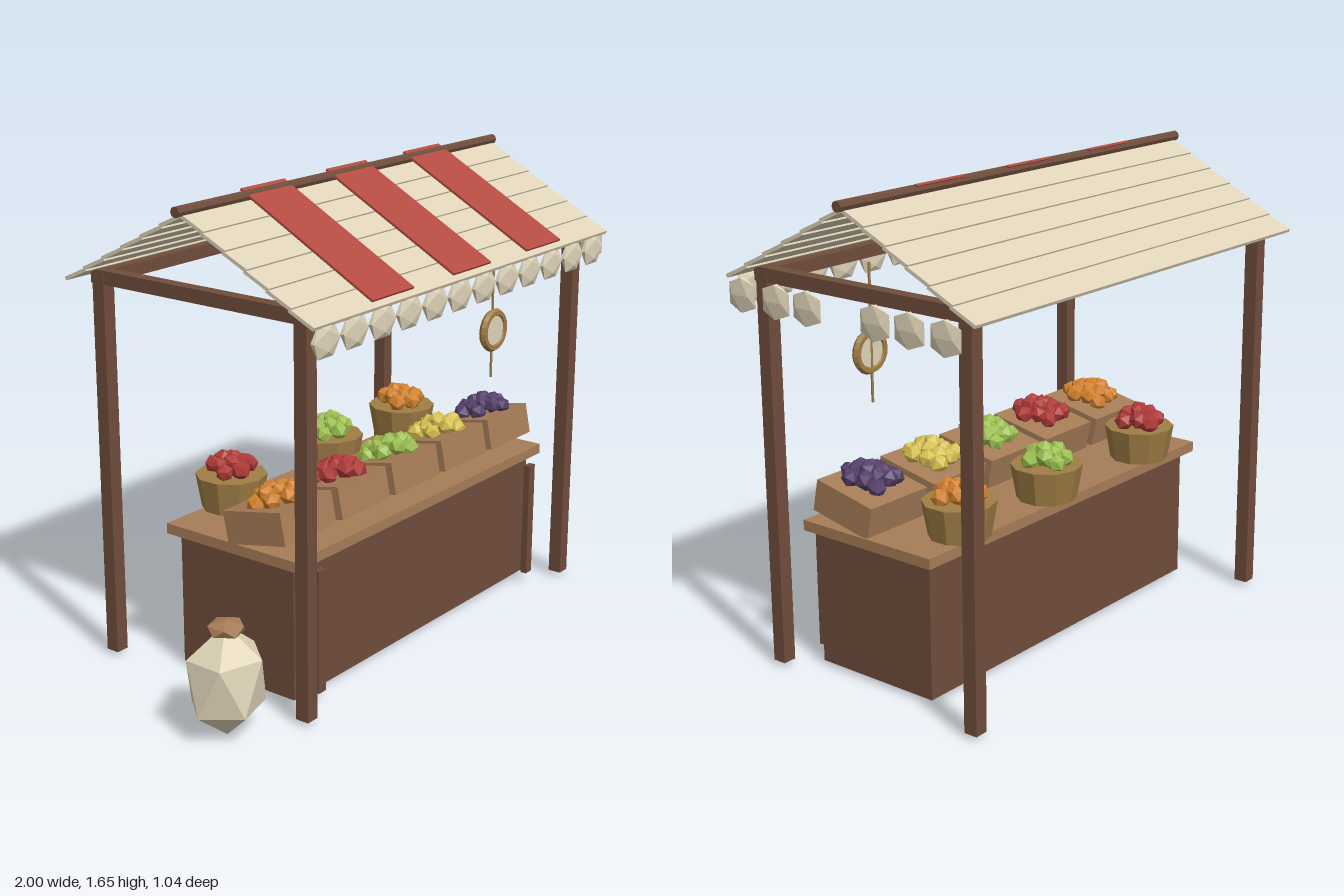
import * as THREE from 'three';

const mat = (name, color) => {
  const m = new THREE.MeshStandardMaterial({ color, flatShading: true });
  m.name = name;
  return m;
};

export function createModel() {
  const model = new THREE.Group();
  model.name = 'marketStall';
  const darkWood = mat('dark wood', 0x6f4d3b);
  const lightWood = mat('light wood', 0xa67c57);
  const wicker = mat('wicker', 0xa07d45);
  const cream = mat('cream cloth', 0xdfd4b9);
  const red = mat('red cloth', 0xb34a40);
  const orange = mat('orange fruit', 0xd4822f);
  const apple = mat('red fruit', 0xae3a38);
  const green = mat('green fruit', 0x9cbf50);
  const yellow = mat('yellow fruit', 0xd6c050);
  const purple = mat('purple fruit', 0x55406a);

  let seed = 7;
  const rand = () => (seed = (seed * 16807) % 2147483647) / 2147483647;

  const add = (name, geo, material, x, y, z, parent = model) => {
    const m = new THREE.Mesh(geo, material);
    m.name = name;
    m.position.set(x, y, z);
    parent.add(m);
    return m;
  };
  const box = (name, material, w, h, d, x, y, z, parent) =>
    add(name, new THREE.BoxGeometry(w, h, d), material, x, y, z, parent);

  // Frame: four posts joined by beams
  const postX = [-0.652, 0.893], postZ = [0.417, -0.426];
  for (const x of postX) {
    for (const z of postZ) box('post', darkWood, 0.049, 1.34, 0.049, x, 0.69, z);
    box('sideBeam', darkWood, 0.045, 0.046, 0.91, x, 1.35, -0.004);
  }
  for (const z of postZ) box('longBeam', darkWood, 1.59, 0.044, 0.049, 0.12, 1.35, z);

  // Roof: overlapping slats on both slopes, red stripes on the front, ridge pole
  const slope = 0.54, angle = Math.atan(slope), step = 0.085;
  for (const side of [1, -1]) {
    for (let i = 0; i < 6; i++) {
      const d = (i + 0.5) * step;
      const slat = box('roofSlat', cream, 1.71, 0.012, 0.104, 0.12, 1.617 - slope * d, side * d);
      slat.rotation.x = side * (angle - 0.06);
    }
  }
  for (const x of [-0.322, 0.117, 0.558]) {
    box('roofStripe', red, 0.217, 0.008, 0.595, x, 1.636 - slope * 0.24, 0.24).rotation.x = angle;
  }
  add('ridgePole', new THREE.CylinderGeometry(0.018, 0.018, 1.754, 8), darkWood, 0.12, 1.628, -0.003)
    .rotation.z = Math.PI / 2;

  // Faceted bunting along the front eave and the left end
  const ico = new THREE.IcosahedronGeometry(1, 0);
  for (let i = 0; i < 12; i++) {
    add('frontBunting', ico, cream, -0.668 + i * 0.1412, 1.295, 0.507).scale.set(0.073, 0.063, 0.015);
  }
  for (const z of [0.433, 0.283, 0.148, -0.135, -0.272, -0.413]) {
    add('sideBunting', ico, cream, 0.985, 1.295, z).scale.set(0.015, 0.066, 0.069);
  }

  // Counter with overhanging top and front trim posts
  box('counterBody', darkWood, 1.395, 0.475, 0.483, 0.118, 0.257, 0.065);
  box('counterTop', lightWood, 1.465, 0.036, 0.552, 0.12, 0.508, 0.065);
  for (const x of [-0.514, 0.751]) box('counterTrim', darkWood, 0.037, 0.43, 0.024, x, 0.26, 0.361);

  // Heap of fruit spread over an ellipse, domed in the middle
  const heap = (parent, material, count, rx, rz, y, z) => {
    for (let i = 0; i < count; i++) {
      const r = Math.sqrt((i + 0.4) / count), a = i * 2.4;
      const fruit = add('fruit', ico, material, rx * r * Math.cos(a),
        y + 0.032 * (1 - r * r) + (rand() - 0.5) * 0.012, z + rz * r * Math.sin(a), parent);
      fruit.scale.setScalar(0.031 + rand() * 0.005);
      fruit.rotation.set(rand() * 3, rand() * 3, rand() * 3);
    }
  };

  // Tilted crates on the counter
  [orange, apple, green, yellow, purple].forEach((fruit, i) => {
    const crate = new THREE.Group();
    crate.name = 'fruitCrate';
    crate.position.set(-0.48 + i * 0.298, 0.599, 0.17);
    crate.rotation.x = -0.2;
    box('crate', lightWood, 0.264, 0.112, 0.244, 0, 0, 0, crate);
    heap(crate, fruit, 13, 0.09, 0.08, 0.066, 0.015);
    model.add(crate);
  });

  // Round baskets behind the crates
  [[-0.355, apple], [0.185, green], [0.635, orange]].forEach(([x, fruit]) => {
    const basket = new THREE.Group();
    basket.name = 'fruitBasket';
    basket.position.set(x, 0.526, -0.147);
    add('basket', new THREE.CylinderGeometry(0.124, 0.103, 0.119, 10), wicker, 0, 0.06, 0, basket);
    heap(basket, fruit, 11, 0.076, 0.076, 0.135, 0);
    model.add(basket);
  });

  // Hanging round sign on a cord
  add('signCord', new THREE.CylinderGeometry(0.005, 0.005, 0.48, 6), wicker, 0.54, 1.1, 0.313);
  add('signRing', new THREE.TorusGeometry(0.064, 0.015, 6, 20), wicker, 0.54, 1.035, 0.319);
  add('signDisc', new THREE.CylinderGeometry(0.06, 0.06, 0.014, 20), cream, 0.54, 1.035, 0.319)
    .rotation.x = Math.PI / 2;

  // Sack beside the stall, standing on a point of its faceted body
  const upright = ico.clone().rotateX(-Math.atan((1 + Math.sqrt(5)) / 2)).rotateY(0.3);
  add('sack', upright, cream, -0.866, 0.195, 0.267).scale.set(0.149, 0.19, 0.134);
  add('sackTie', upright, lightWood, -0.862, 0.372, 0.267).scale.set(0.069, 0.029, 0.066);

  return model;
}
